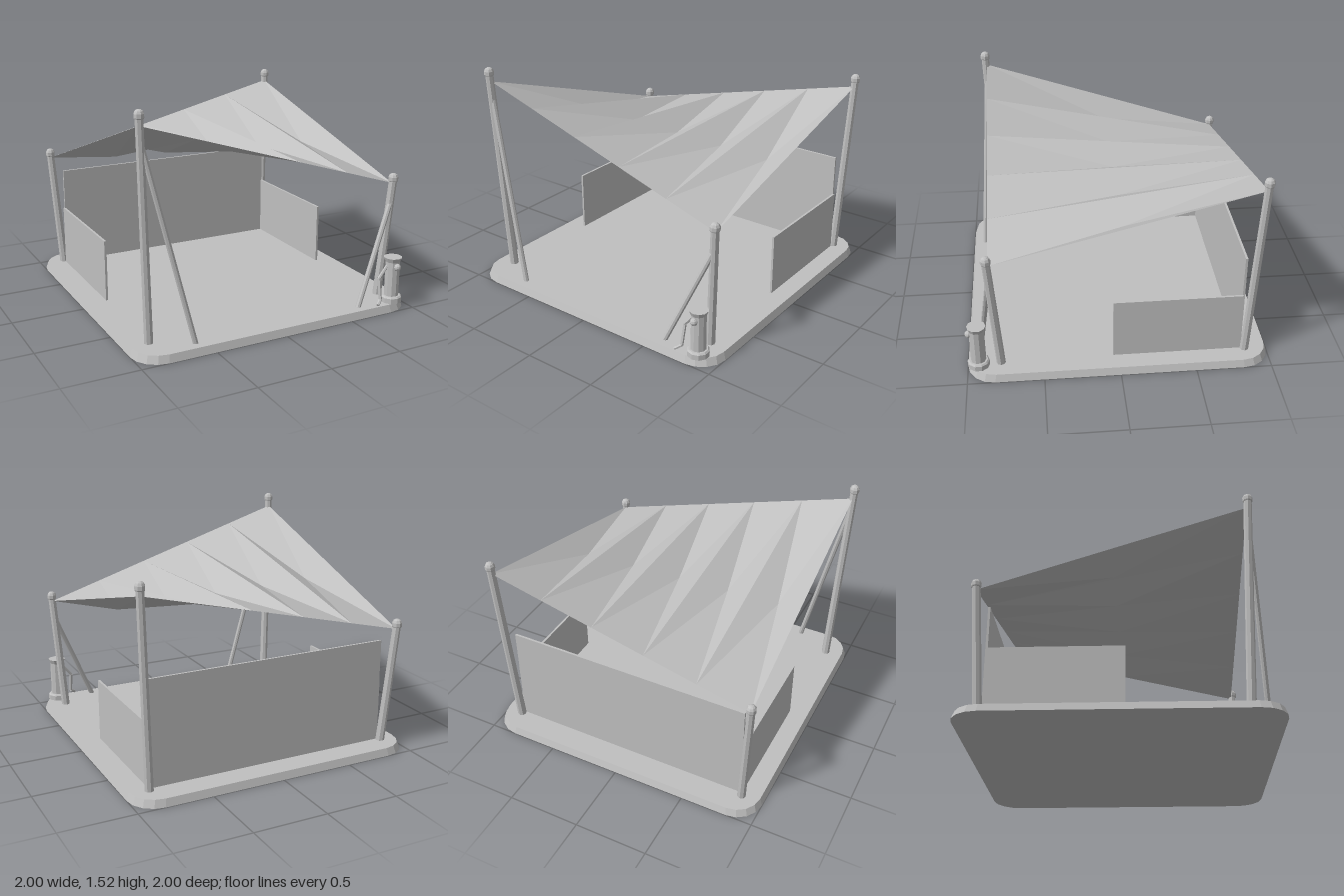
import * as THREE from 'three';

const V = (x, y, z) => new THREE.Vector3(x, y, z);

export function createModel() {
  const root = new THREE.Group();
  root.name = 'shadeSailPavilion';
  const grey = new THREE.MeshStandardMaterial({ color: 0xc0c0c0, flatShading: true, side: THREE.DoubleSide });
  grey.name = 'light grey';

  const add = (name, geometry, position, parent = root) => {
    const mesh = new THREE.Mesh(geometry, grey);
    mesh.name = name;
    if (position) mesh.position.copy(position);
    parent.add(mesh);
    return mesh;
  };
  // straight round bar between two points
  const bar = (name, a, b, rBottom, rTop, sides = 8, parent = root) => {
    const dir = b.clone().sub(a);
    const mesh = add(name, new THREE.CylinderGeometry(rTop, rBottom, dir.length(), sides),
      a.clone().add(b).multiplyScalar(0.5), parent);
    mesh.quaternion.setFromUnitVectors(V(0, 1, 0), dir.normalize());
    return mesh;
  };

  // slab: rounded square, slightly narrower at the top
  const slabRing = (half, radius) => {
    const pts = [];
    for (let c = 0; c < 4; c++) {
      const mid = Math.PI / 4 + c * Math.PI / 2;
      const cx = Math.sign(Math.cos(mid)) * (half - radius);
      const cz = Math.sign(Math.sin(mid)) * (half - radius);
      for (let i = 0; i <= 4; i++) {
        const a = c * Math.PI / 2 + (i / 4) * Math.PI / 2;
        pts.push([cx + Math.cos(a) * radius, cz + Math.sin(a) * radius]);
      }
    }
    return pts;
  };
  const low = slabRing(1, 0.18), high = slabRing(0.983, 0.17), slab = [];
  low.forEach((p, i) => {
    const j = (i + 1) % low.length;
    const a = [low[i][0], 0, low[i][1]], b = [low[j][0], 0, low[j][1]];
    const c = [high[j][0], 0.05, high[j][1]], d = [high[i][0], 0.05, high[i][1]];
    slab.push(a, c, b, a, d, c, [0, 0.05, 0], c, d, [0, 0, 0], a, b);
  });
  const fromTriangles = (tris) => {
    const g = new THREE.BufferGeometry();
    g.setAttribute('position', new THREE.Float32BufferAttribute(tris.flat(), 3));
    g.computeVertexNormals();
    return g;
  };
  add('floorSlab', fromTriangles(slab));

  // posts leaning outward, each with a collar and domed cap
  const capProfile = [[0, -0.028], [0.03, -0.028], [0.033, -0.022], [0.033, 0.002], [0.025, 0.018], [0.013, 0.026], [0, 0.028]]
    .map(([r, y]) => new THREE.Vector2(r, y));
  const posts = [
    ['frontRightPost', -1, 0.83, 0.78, 1.52],
    ['frontLeftPost', 1, 0.83, 0.78, 0.92],
    ['backLeftPost', 1, -0.89, -0.84, 1.38],
    ['backRightPost', -1, -0.89, -0.84, 0.92],
  ];
  for (const [name, side, zTop, zBase, height] of posts) {
    const post = new THREE.Group();
    post.name = name;
    root.add(post);
    const top = V(side * 0.912, height - 0.04, zTop);
    bar('shaft', V(side * 0.86, 0.045, zBase), top, 0.03, 0.027, 8, post);
    add('cap', new THREE.LatheGeometry(capProfile, 8), V(top.x, height - 0.028, zTop), post);
  }

  // slanted braces on the two front posts
  bar('frontRightBrace', V(-0.605, 0.045, 0.915), V(-0.9, 1.31, 0.825), 0.018, 0.018);
  bar('frontLeftBrace', V(0.605, 0.045, 0.915), V(0.905, 0.73, 0.825), 0.018, 0.018);

  // twisted sail in five bays, each sagging at its middle
  const bays = 5, sag = 0.05, sail = [];
  const back = (t) => [-0.91 + 1.82 * t, 0.85 + 0.44 * t, -0.89];
  const front = (t) => [-0.91 + 1.82 * t, 1.42 - 0.57 * t, 0.82];
  for (let i = 0; i < bays; i++) {
    const a = back(i / bays), b = back((i + 1) / bays);
    const c = front((i + 1) / bays), d = front(i / bays);
    const m = a.map((v, k) => (v + c[k]) / 2 - (k === 1 ? sag : 0));
    sail.push(m, b, a, m, c, b, m, d, c, m, a, d);
  }
  add('shadeSail', fromTriangles(sail));

  // back wall and low side screens
  add('backWall', new THREE.BoxGeometry(1.69, 0.71, 0.015), V(0, 0.405, -0.812));
  for (const side of [-1, 1]) {
    add(side < 0 ? 'rightScreen' : 'leftScreen', new THREE.BoxGeometry(0.015, 0.425, 0.85),
      V(side * 0.848, 0.2625, -0.385));
  }

  // winch with foot, drum, flange, knob and crank handle
  const winch = new THREE.Group();
  winch.name = 'winch';
  winch.position.set(0.87, 0, 0.925);
  root.add(winch);
  const winchProfile = [[0, 0.05], [0.072, 0.05], [0.072, 0.085], [0.062, 0.095], [0.05, 0.095], [0.05, 0.335], [0.062, 0.365], [0, 0.365]]
    .map(([r, y]) => new THREE.Vector2(r, y));
  add('winchBody', new THREE.LatheGeometry(winchProfile, 10), null, winch);
  add('winchKnob', new THREE.SphereGeometry(0.025, 8, 6), V(0, 0.305, 0.052), winch);
  const crank = [V(-0.03, 0.32, -0.005), V(-0.105, 0.225, -0.005), V(-0.108, 0.085, 0.025), V(-0.145, 0.06, 0.05)];
  for (let i = 0; i < crank.length - 1; i++) {
    bar('crankHandle', crank[i], crank[i + 1], 0.011, 0.011, 6, winch);
  }

  return root;
}
